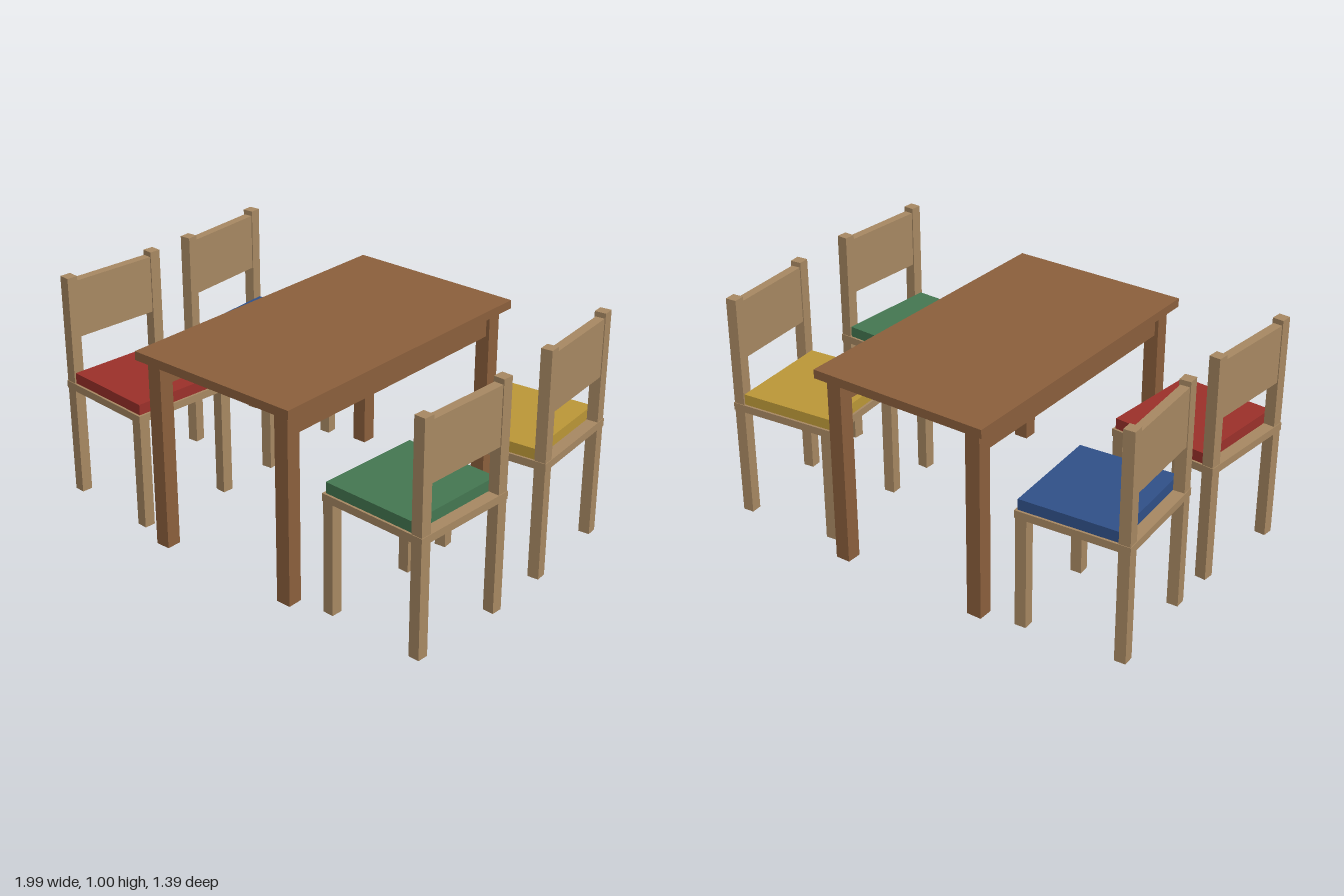
import * as THREE from 'three';

const paint = (name, color) => {
  const m = new THREE.MeshStandardMaterial({ color });
  m.name = name;
  return m;
};

// Box given by its [min, max] range on each axis
function box(parent, name, mat, [x0, x1], [y0, y1], [z0, z1]) {
  const mesh = new THREE.Mesh(new THREE.BoxGeometry(x1 - x0, y1 - y0, z1 - z0), mat);
  mesh.position.set((x0 + x1) / 2, (y0 + y1) / 2, (z0 + z1) / 2);
  mesh.name = name;
  parent.add(mesh);
}

function makeTable(mat) {
  const g = new THREE.Group();
  g.name = 'table';
  box(g, 'tableTop', mat, [-0.405, 0.405], [0.835, 0.873], [-0.697, 0.697]);
  for (const sx of [-1, 1]) {
    const x = sx * 0.337;
    for (const sz of [-1, 1]) {
      const z = sz * 0.63;
      box(g, 'tableLeg', mat, [x - 0.033, x + 0.033], [0, 0.835], [z - 0.033, z + 0.033]);
    }
    // Long rail between the legs, a little below the top
    box(g, 'tableRail', mat, [x - 0.017, x + 0.017], [0.725, 0.815], [-0.6, 0.6]);
  }
  g.position.x = -0.01;
  return g;
}

// Chair facing local +x
function makeChair(name, wood, fabric) {
  const g = new THREE.Group();
  g.name = name;
  const s = 0.246, o = 0.243, w = 0.049;
  box(g, 'seat', wood, [-s, s], [0.49, 0.523], [-s, s]);
  box(g, 'cushion', fabric, [-o + w, s - 0.01], [0.523, 0.57], [-s + 0.01, s - 0.01]);
  for (const side of [-1, 1]) {
    const z = side > 0 ? [o - w, o] : [-o, w - o];
    box(g, 'backPost', wood, [-o, w - o], [0, 1], z);
    box(g, 'frontLeg', wood, [o - w, o], [0, 0.49], z);
  }
  box(g, 'backrest', wood, [-o + 0.004, w - o - 0.005], [0.725, 0.978], [w - o, o - w]);
  return g;
}

export function createModel() {
  const model = new THREE.Group();
  model.name = 'diningSet';
  model.add(makeTable(paint('table wood', 0x8b5f3c)));

  // Four slightly turned chairs: name, fabric, x, z, turn
  const wood = paint('chair wood', 0xa78862);
  const chairs = [
    ['redChair', paint('red fabric', 0x9b302a), -0.731, 0.345, -0.083],
    ['blueChair', paint('blue fabric', 0x305088), -0.731, -0.352, 0.076],
    ['yellowChair', paint('yellow fabric', 0xbb9737), 0.71, -0.352, Math.PI + 0.1],
    ['greenChair', paint('green fabric', 0x447751), 0.734, 0.369, Math.PI - 0.048],
  ];
  for (const [name, fabric, x, z, turn] of chairs) {
    const chair = makeChair(name, wood, fabric);
    chair.position.set(x, 0, z);
    chair.rotation.y = turn;
    model.add(chair);
  }
  return model;
}
